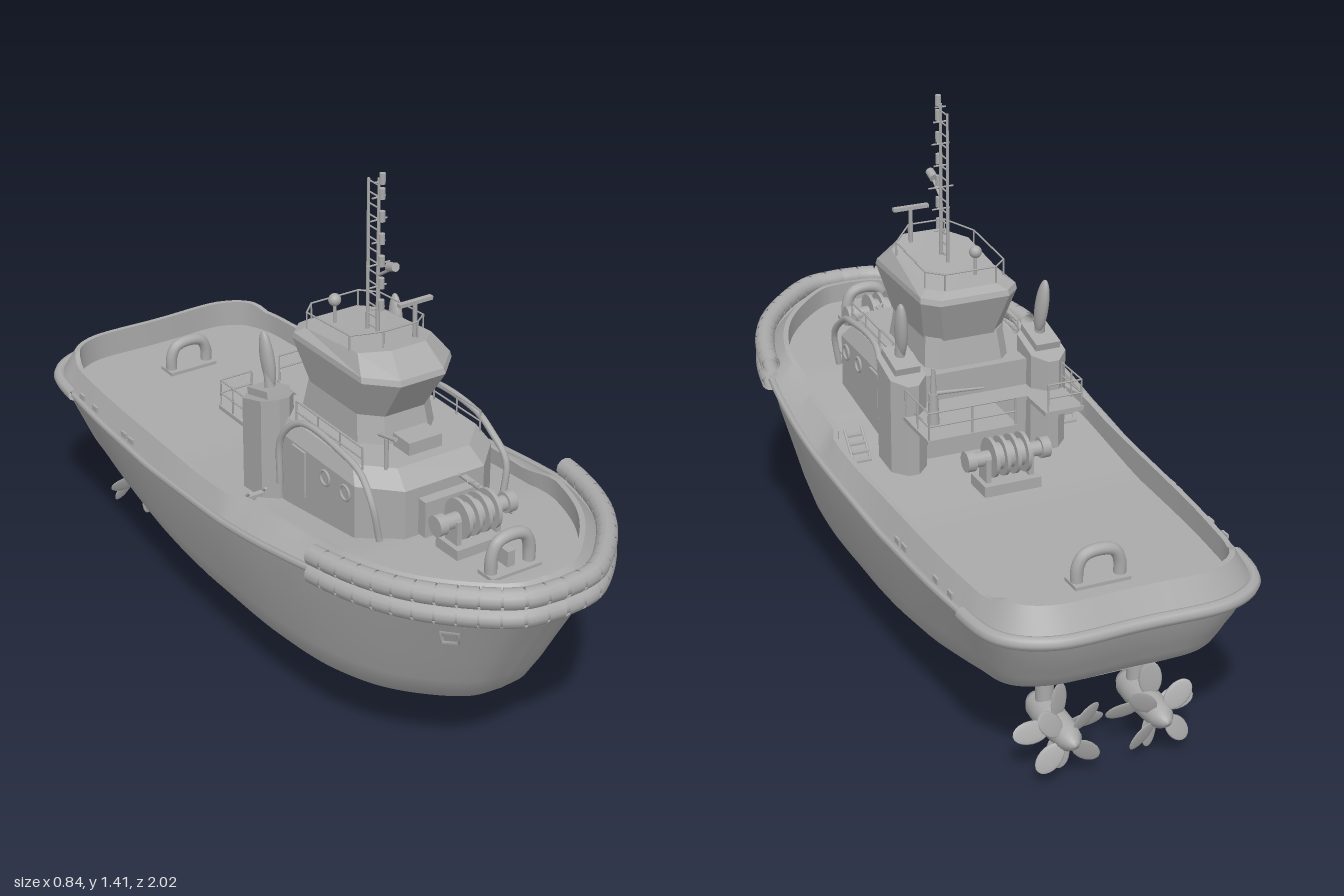
import * as THREE from 'three';
import { toCreasedNormals } from 'three/addons/utils/BufferGeometryUtils.js';

const V = (x, y, z) => new THREE.Vector3(x, y, z);
const lerp = THREE.MathUtils.lerp;

// piecewise linear lookup, keys descending
function table(rows) {
  return (k) => {
    if (k >= rows[0][0]) return rows[0][1];
    for (let i = 1; i < rows.length; i++) {
      const [k0, v0] = rows[i - 1], [k1, v1] = rows[i];
      if (k >= k1) return lerp(v1, v0, (k - k1) / (k0 - k1));
    }
    return rows[rows.length - 1][1];
  };
}
const sheer = table([[1, .585], [.5, .565], [.1, .51], [-.3, .478], [-1, .485]]);
const keel = table([[-.12, .14], [-.25, .15], [-.4, .177], [-.72, .27], [-.91, .315], [-1, .33]]);
const railTop = table([[1, .64], [.55, .62], [.4, .588], [.1, .567], [-.1, .55], [-.84, .542], [-.89, .56], [-1, .56]]);
const railInset = table([[1, .05], [.55, .05], [.45, .065], [.12, .06], [.06, .035], [-.8, .03], [-.9, .045]]);

// half outline of the hull at the rail, bow to stern
const planCurve = new THREE.CatmullRomCurve3([[0, .97], [.1, .955], [.21, .87], [.31, .74], [.375, .56],
  [.403, .3], [.405, .1], [.393, -.24], [.37, -.72], [.335, -.92], [.235, -.99], [0, -.995]].map(([x, z]) => V(x, 0, z)));
const N = 72;
const plan = Array.from({ length: N + 1 }, (_, i) => {
  const p = planCurve.getPoint(i / N), t = planCurve.getTangent(i / N);
  const end = i === 0 || i === N;
  return { x: p.x, z: p.z, nx: end ? 0 : -t.z, nz: i === 0 ? 1 : i === N ? -1 : t.x };
});
const mirror = (pts) => pts.map((p) => V(-p.x, p.y, p.z));
const fullLoop = (half) => [...half, ...mirror(half).reverse()];
const railLine = (off, y) => plan.map((p) => {
  const o = typeof off === 'function' ? off(p.z) : off;
  return V(Math.max(0, p.x + p.nx * o), y(p.z), p.z + p.nz * o);
});

// surface through rows of points
function grid(rows, crease = 0.6) {
  const n = rows[0].length, idx = [];
  for (let r = 0; r < rows.length - 1; r++) for (let i = 0; i < n - 1; i++) {
    const a = r * n + i, b = a + n;
    idx.push(a, a + 1, b, a + 1, b + 1, b);
  }
  const g = new THREE.BufferGeometry().setFromPoints(rows.flat());
  g.setIndex(idx);
  g.computeVertexNormals();
  return toCreasedNormals(g, crease);
}
// closed faceted solid through rings, capped on top
function solid(rings) {
  const top = rings[rings.length - 1];
  const mid = top.reduce((s, p) => s.add(p), V(0, 0, 0)).divideScalar(top.length);
  return grid([...rings, top.map(() => mid.clone())].map((r) => [...r, r[0].clone()]), 0.2);
}
// eight-sided plan with cut corners
function oct(w, z0, z1, cf, cb, y) {
  const half = [[w - cf, z1], [w, z1 - cf], [w, z0 + cb], [w - cb, z0]];
  return [...half, ...half.map(([x, z]) => [-x, z]).reverse()]
    .map(([x, z]) => V(x, typeof y === 'function' ? y(z) : y, z));
}

export function createModel() {
  const model = new THREE.Group();
  model.name = 'tugboat';
  const grey = new THREE.MeshStandardMaterial({ color: 0xaaaaaa, side: THREE.DoubleSide });
  grey.name = 'plain grey';

  const add = (name, geo, x = 0, y = 0, z = 0, parent = model) => {
    const m = new THREE.Mesh(geo, grey);
    m.name = name;
    m.position.set(x, y, z);
    parent.add(m);
    return m;
  };
  const box = (name, w, h, d, x, y, z) => add(name, new THREE.BoxGeometry(w, h, d), x, y, z);
  const rod = (name, a, b, r = .003, r2 = r, seg = 8) => {
    const d = b.clone().sub(a);
    const m = add(name, new THREE.CylinderGeometry(r2, r, d.length(), seg));
    m.position.copy(a).addScaledVector(d, .5);
    m.quaternion.setFromUnitVectors(V(0, 1, 0), d.normalize());
    return m;
  };
  const tube = (name, pts, r, seg = 40, rs = 8) =>
    add(name, new THREE.TubeGeometry(new THREE.CatmullRomCurve3(pts), seg, r, rs));
  const railing = (name, pts, h, mid = true) => pts.forEach((p, i) => {
    rod(name + 'Post', p, V(p.x, p.y + h, p.z), .0025, .0025, 5);
    const q = pts[i + 1];
    if (q) for (const f of mid ? [.5, 1] : [1])
      rod(name + 'Bar', V(p.x, p.y + h * f, p.z), V(q.x, q.y + h * f, q.z), .0025, .0025, 5);
  });

  // hull: waterlines [height fraction, width, bow reach, stern reach]
  const levels = [[0, .58, .5, .91], [.05, .66, .61, .92], [.19, .8, .755, .935], [.35, .85, .8, .95],
    [.55, .9, .85, .97], [.78, .96, .91, .985], [1, 1, .97, 1]];
  const lines = levels.map(([t, w, bow, stern]) => plan.map((p) => {
    const z = p.z > 0 ? p.z * bow / .97 : p.z * stern;
    const wide = p.z > 0 ? w : lerp(w, Math.max(w, .82 + .18 * t), Math.min(1, -p.z));
    return V(p.x * wide, lerp(keel(z), sheer(z), t), z);
  }));
  add('hull', grid(lines.map(fullLoop), 0.9));
  add('hullBottom', grid([lines[0], mirror(lines[0])]));

  // bulwark leaning inwards, and the deck inside it
  const inset = (k) => (z) => -railInset(z) - k;
  add('bulwark', grid([railLine(0, sheer), railLine(inset(0), railTop), railLine(inset(.014), railTop),
    railLine(inset(.014), sheer)].map(fullLoop)));
  const deckEdge = railLine(inset(.012), sheer);
  add('deck', grid([deckEdge, mirror(deckEdge)]));

  // rubbing strakes and stern fender
  const belt = railLine(.002, (z) => sheer(z) + .002);
  const sides = belt.filter((p) => p.z < .5 && p.z > -.8);
  for (const s of [sides, mirror(sides)]) tube('rubbingStrake', s, .01, 60, 6);
  tube('sternFender', fullLoop(belt.filter((p) => p.z < -.76).slice(0, -1)), .018, 60);

  // bow fenders in short segments
  for (const [name, dy] of [['upperBowFender', .045], ['lowerBowFender', -.006]]) {
    const half = railLine(.003, (z) => sheer(z) + dy).filter((p) => p.z > .46);
    const curve = new THREE.CatmullRomCurve3([...mirror(half).reverse(), ...half.slice(1)]);
    add(name + 'Core', new THREE.TubeGeometry(curve, 80, .021, 10));
    const count = 26;
    for (let i = 0; i < count; i++) {
      const pts = [.05, .35, .65, .95].map((f) => curve.getPointAt((i + f) / count));
      add(name, new THREE.TubeGeometry(new THREE.CatmullRomCurve3(pts), 4, .027, 12));
    }
  }

  // deckhouse and wheelhouse
  add('deckhouse', solid([oct(.21, -.02, .5, .09, .01, .5), oct(.21, -.02, .5, .09, .01, .7), oct(.19, -.02, .45, .08, .01, .74)]));
  add('bridgeBase', solid([oct(.12, 0, .34, .05, .03, .72), oct(.11, .02, .32, .05, .03, .82)]));
  const brow = (z) => z > .2 ? lerp(.96, 1, Math.min(1, (z - .2) / .12)) : .96;
  add('wheelhouse', solid([oct(.11, .02, .32, .05, .04, .81), oct(.137, -.025, .4, .07, .04, .93),
    oct(.135, -.02, .395, .07, .04, .945), oct(.112, 0, .335, .06, .04, brow)]));
  box('frontStep', .16, .1, .06, 0, .62, .5);
  box('bridgeFrontLocker', .1, .04, .07, 0, .755, .38);
  const roofRail = oct(.112, .005, .3, .06, .04, brow);
  railing('roofRail', [...roofRail, roofRail[0]], .045, false);

  // front stair
  for (const dz of [.515, .555]) rod('stairSide', V(.17, .575, dz), V(.03, .71, dz), .004);
  for (let i = 0; i < 8; i++) box('stairTread', .016, .004, .04, .16 - i * .0165, .59 + i * .016, .535);

  for (const s of [1, -1]) {
    // pipe rail over the deckhouse
    tube('pipeRail', [[.19, .58, .49], [.205, .68, .48], [.2, .74, .42], [.205, .765, .35], [.205, .765, .16], [.22, .7, .09], [.22, .56, .08]]
      .map(([x, y, z]) => V(s * x, y, z)), .009);
    railing('deckhouseRail', [.4, .3, .2, .1].map((z) => V(s * .18, .735, z)), .06);
    // portholes and doors
    for (const z of [.37, .28]) {
      add('porthole', new THREE.TorusGeometry(.02, .004, 6, 16), s * .212, .665, z).rotation.y = Math.PI / 2;
    }
    box('sideDoor', .008, .13, .06, s * .212, .63, .16);
    // funnel casing with a sloping top
    add('funnelCasing', solid([oct(.05, -.085, .075, .035, .035, .48), oct(.05, -.085, .075, .035, .035, (z) => .775 + z * .3)]), s * .2);
    box('funnelCap', .07, .02, .1, s * .2, .79, 0).rotation.x = -.25;
    const stack = add('exhaustStack', new THREE.SphereGeometry(1, 16, 12), s * .2, .875, -.005);
    stack.scale.set(.017, .08, .024);
    stack.rotation.set(-.15, 0, s * -.06);
    rod('exhaustNeck', V(s * .2, .77, .01), V(s * .2, .85, 0), .014, .014, 12);
    // side steps down to the aft deck
    for (let i = 0; i < 4; i++) box('sideStep', .045, .006, .016, s * .3, .555 - i * .016, .09 - i * .02);
    for (const dx of [-.024, .024]) rod('sideStepString', V(s * .3 + dx, .57, .1), V(s * .3 + dx, .49, .02), .004);
    // bow hawse pocket
    const pocket = add('hawsePocket', new THREE.TorusGeometry(.028, .006, 4, 4, Math.PI * 2), s * .205, .475, .81);
    pocket.geometry.rotateZ(Math.PI / 4);
    pocket.rotation.set(.35, s * .75, 0, 'YXZ');
    // freeing ports as thin plates
    for (const z of [-.42, -.46, -.64, -.72]) box('freeingPort', .006, .016, .028, s * (.37 + (z + .72) * .045), .505, z);

    // steerable drive with two propellers
    const drive = new THREE.Group();
    drive.name = 'drive';
    drive.position.set(s * .125, .13, 0);
    model.add(drive);
    add('driveStrut', new THREE.CylinderGeometry(.026, .022, .18, 16), 0, .09, -.73, drive);
    const pod = [[0, .1], [.025, .095], [.037, .07], [.04, .02], [.038, -.06], [.03, -.11], [.012, -.135], [0, -.14]];
    add('drivePod', new THREE.LatheGeometry(pod.map(([r, y]) => new THREE.Vector2(r, y)).reverse(), 20), 0, 0, -.77, drive)
      .rotation.x = Math.PI / 2;
    for (const [z, len, turn] of [[-.81, .122, 0], [-.865, .112, Math.PI / 4]]) for (let k = 0; k < 4; k++) {
      const arm = new THREE.Group();
      arm.name = 'propellerArm';
      arm.position.z = z;
      arm.rotation.z = turn + k * Math.PI / 2;
      drive.add(arm);
      const blade = add('propellerBlade', new THREE.SphereGeometry(1, 14, 10), 0, len / 2 + .012, 0, arm);
      blade.scale.set(.029, len / 2 - .012, .004);
      blade.rotation.y = s * .4;
    }
  }

  // aft platform with railing, post and small crane
  box('aftPlatformRight', .11, .012, .13, -.175, .66, -.14);
  box('aftPlatformLeft', .25, .012, .17, .1, .66, -.155);
  box('aftPlatformBridge', .44, .012, .08, 0, .66, -.05);
  railing('aftRail', [[.22, -.08], [.22, -.16], [.22, -.235], [.1, -.235], [-.02, -.235]].map(([x, z]) => V(x, .665, z)), .075);
  railing('aftRail', [[-.225, -.08], [-.225, -.14], [-.225, -.2], [-.13, -.2]].map(([x, z]) => V(x, .665, z)), .075);
  rod('cranePost', V(.17, .66, -.145), V(.17, .75, -.145), .016, .012, 12);
  rod('craneHead', V(.17, .75, -.145), V(.17, .82, -.145), .009, .005, 12);
  rod('craneBoom', V(.17, .75, -.145), V(.03, .74, -.145), .006, .003);

  // winches fore and aft
  for (const [z, y] of [[.62, .66], [-.225, .58]]) {
    box('winchBed', .16, .03, .09, 0, y - .075, z);
    for (const x of [-.06, .06]) box('winchFrame', .014, .08, .05, x, y - .035, z);
    rod('winchShaft', V(-.11, y, z), V(.11, y, z), .02, .02, 16);
    rod('winchDrum', V(-.05, y, z), V(.05, y, z), .036, .036, 20);
    for (const x of [-.045, -.015, .015, .045]) rod('winchFlange', V(x - .005, y, z), V(x + .005, y, z), .053, .053, 24);
    for (const x of [-.105, .105]) rod('warpingHead', V(x - .012, y, z), V(x + .012, y, z), .028, .028, 16);
  }

  // towing arches
  for (const [z, y, h] of [[.77, .575, .115], [-.76, .48, .1]]) {
    box('towingArchBase', .15, .012, .06, 0, y + .006, z);
    tube('towingArch', [V(-.058, y, z), V(-.056, y + h * .5, z), V(-.04, y + h * .78, z), V(0, y + h * .87, z),
      V(.04, y + h * .78, z), V(.056, y + h * .5, z), V(.058, y, z)], .016, 32, 12);
  }
  box('foreArchBrace', .022, .05, .07, 0, .605, .74);

  // ladder mast with lights and aerials
  rod('mastFront', V(0, .95, .2), V(0, 1.4, .2), .006, .004);
  rod('mastBack', V(0, .95, .155), V(0, 1.385, .155), .005, .004);
  for (let y = .99; y < 1.39; y += .03) rod('mastRung', V(0, y, .155), V(0, y, .2), .0025, .0025, 5);
  for (const [y, w] of [[1.05, .02], [1.11, .025], [1.17, .035], [1.23, .02], [1.29, .025], [1.35, .02], [1.39, .015]]) {
    rod('mastArm', V(-w, y, .2), V(w, y, .2), .0025);
    rod('mastLight', V(0, y, .215), V(0, y + .028, .215), .008, .008, 10);
  }
  rod('mastBracket', V(0, 1.14, .2), V(0, 1.18, .26), .004);
  rod('mastLamp', V(0, 1.18, .245), V(0, 1.19, .275), .012, .012, 10);

  // radar, searchlight and bow horn post
  rod('radarPost', V(.05, .96, .29), V(.05, 1.085, .29), .006);
  box('radarBar', .1, .01, .014, .05, 1.09, .29);
  rod('searchlightPost', V(-.04, .95, .065), V(-.04, 1.02, .065), .005);
  add('searchlight', new THREE.SphereGeometry(.017, 14, 10), -.04, 1.03, .065);
  rod('monitorPost', V(-.13, .72, .43), V(-.13, .82, .43), .006);
  rod('monitorBarrel', V(-.13, .82, .4), V(-.13, .835, .47), .006);
  return model;
}
